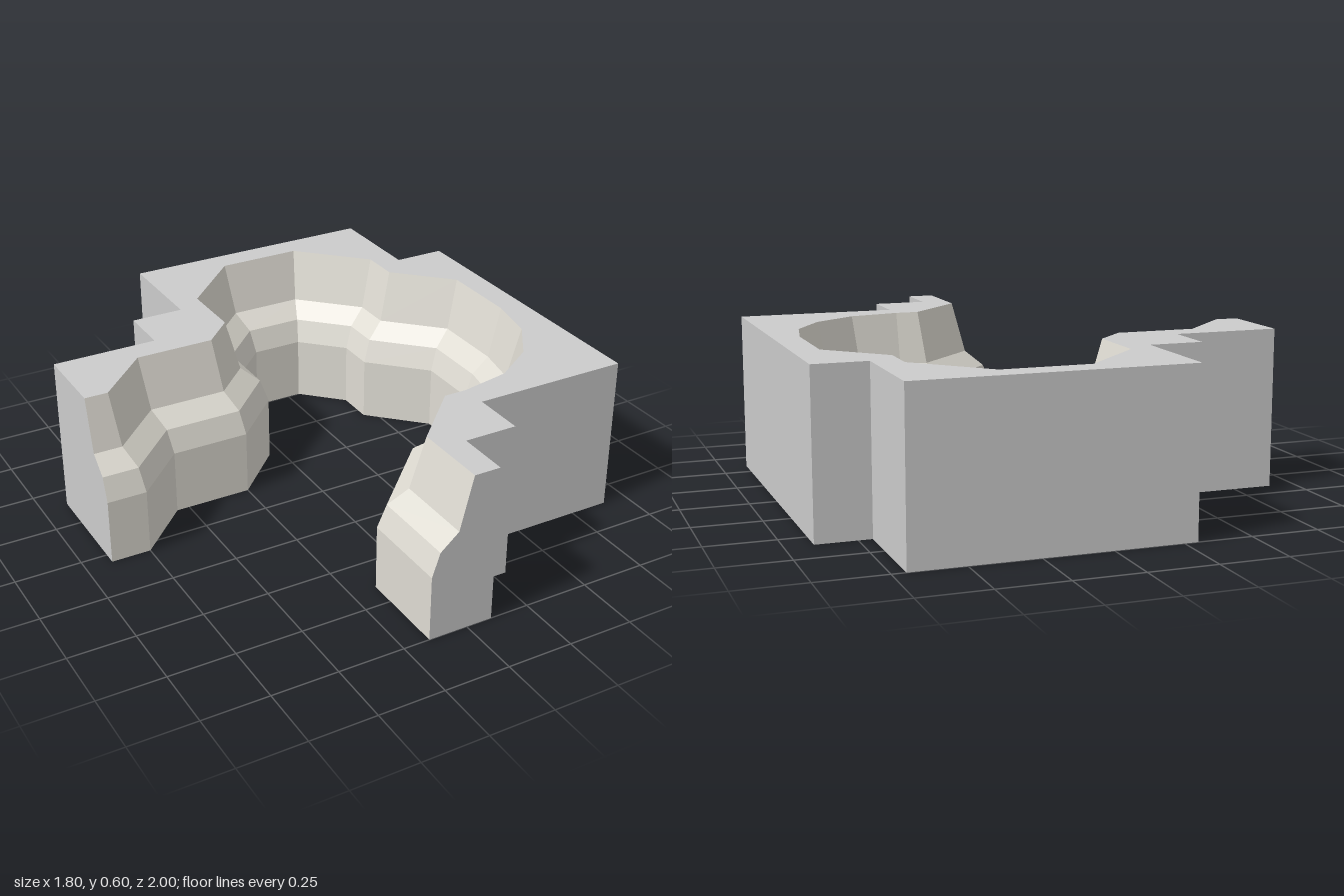
import * as THREE from 'three';

const HEIGHT = 0.6;

// Cliff face course, left end to front end: [rim x, rim z, foot x, foot z]
const course = [
  [-0.9, -0.1, -0.9, 0.05], [-0.812, -0.1, -0.75, 0.05], [-0.612, -0.3, -0.55, -0.15],
  [-0.312, -0.3, -0.25, -0.15], [-0.2, -0.412, -0.05, -0.35], [-0.2, -0.662, -0.05, -0.6],
  [0.038, -0.9, 0.1, -0.75], [0.362, -0.9, 0.3, -0.75], [0.6, -0.662, 0.45, -0.6],
  [0.6, -0.512, 0.45, -0.45], [0.8, -0.312, 0.65, -0.25],
];
// Rounded bend
for (let i = 0; i <= 4; i++) {
  const a = (i * Math.PI) / 8, c = Math.cos(a), s = Math.sin(a);
  course.push([0.3 + 0.5 * c, 0.5 * s, 0.3 + 0.35 * c, 0.35 * s]);
}
course.push([0.212, 0.5, 0.15, 0.35], [0, 0.712, -0.15, 0.65], [0, 1, -0.15, 1]);

// Cliff profile from foot to rim: [distance out from the rim, height]
const profile = [[0.15, 0], [0.15, 0.25], [0.12, 0.34], [0.05, 0.4], [0, HEIGHT]];

// Stepped outer outline, front end to left end: [x, z]
const outline = [
  [0.1, 1], [0.1, 0.8], [0.3, 0.8], [0.3, 0.6], [0.9, 0.6], [0.9, -0.6], [0.7, -0.6],
  [0.7, -1], [-0.3, -1], [-0.3, -0.6], [-0.5, -0.6], [-0.5, -0.4], [-0.9, -0.4],
];

// Line of the cliff at a given distance out from the rim
const cliffLine = (distance) => course.map(([rx, rz, fx, fz]) => {
  const t = distance / 0.15;
  return [rx + (fx - rx) * t, rz + (fz - rz) * t];
});

// Surface through stacked rows of [x, z] points at the given heights
function loft(rows, heights) {
  const pos = [];
  for (let r = 0; r < rows.length - 1; r++) {
    for (let i = 0; i < rows[r].length - 1; i++) {
      const at = (row, k) => [rows[row][k][0], heights[row], rows[row][k][1]];
      const a = at(r, i), b = at(r, i + 1), c = at(r + 1, i + 1), d = at(r + 1, i);
      pos.push(...a, ...b, ...c, ...a, ...c, ...d);
    }
  }
  const geo = new THREE.BufferGeometry();
  geo.setAttribute('position', new THREE.Float32BufferAttribute(pos, 3));
  geo.computeVertexNormals();
  return geo;
}

const flat = (points) => new THREE.ShapeGeometry(
  new THREE.Shape(points.map(([x, y]) => new THREE.Vector2(x, y))));

export function createModel() {
  const group = new THREE.Group();
  const grey = new THREE.MeshStandardMaterial({ color: 0xcccccc, flatShading: true });
  const stone = new THREE.MeshStandardMaterial({ color: 0xdedbd2, flatShading: true });
  const add = (name, geo, material = grey) => {
    const mesh = new THREE.Mesh(geo, material);
    mesh.name = name;
    group.add(mesh);
  };

  // Winding cliff face
  add('cliffFace', loft(profile.map((p) => cliffLine(p[0])), profile.map((p) => p[1])), stone);

  // Vertical outer walls
  add('outerWall', loft([outline, outline], [0, HEIGHT]));

  // Plateau and underside
  const top = [...cliffLine(0), ...outline].map(([x, z]) => [x, -z]);
  add('plateau', flat(top).rotateX(-Math.PI / 2).translate(0, HEIGHT, 0));
  add('underside', flat([...cliffLine(0.15), ...outline]).rotateX(Math.PI / 2));

  // Cut ends showing the cliff profile
  const frontEnd = [...profile.map(([d, y]) => [-d, y]), [0.1, HEIGHT], [0.1, 0]];
  add('frontEnd', flat(frontEnd).translate(0, 0, 1));
  const sideEnd = [...profile.map(([d, y]) => [-0.1 + d, y]), [-0.4, HEIGHT], [-0.4, 0]];
  add('sideEnd', flat(sideEnd).rotateY(-Math.PI / 2).translate(-0.9, 0, 0));

  return group;
}
